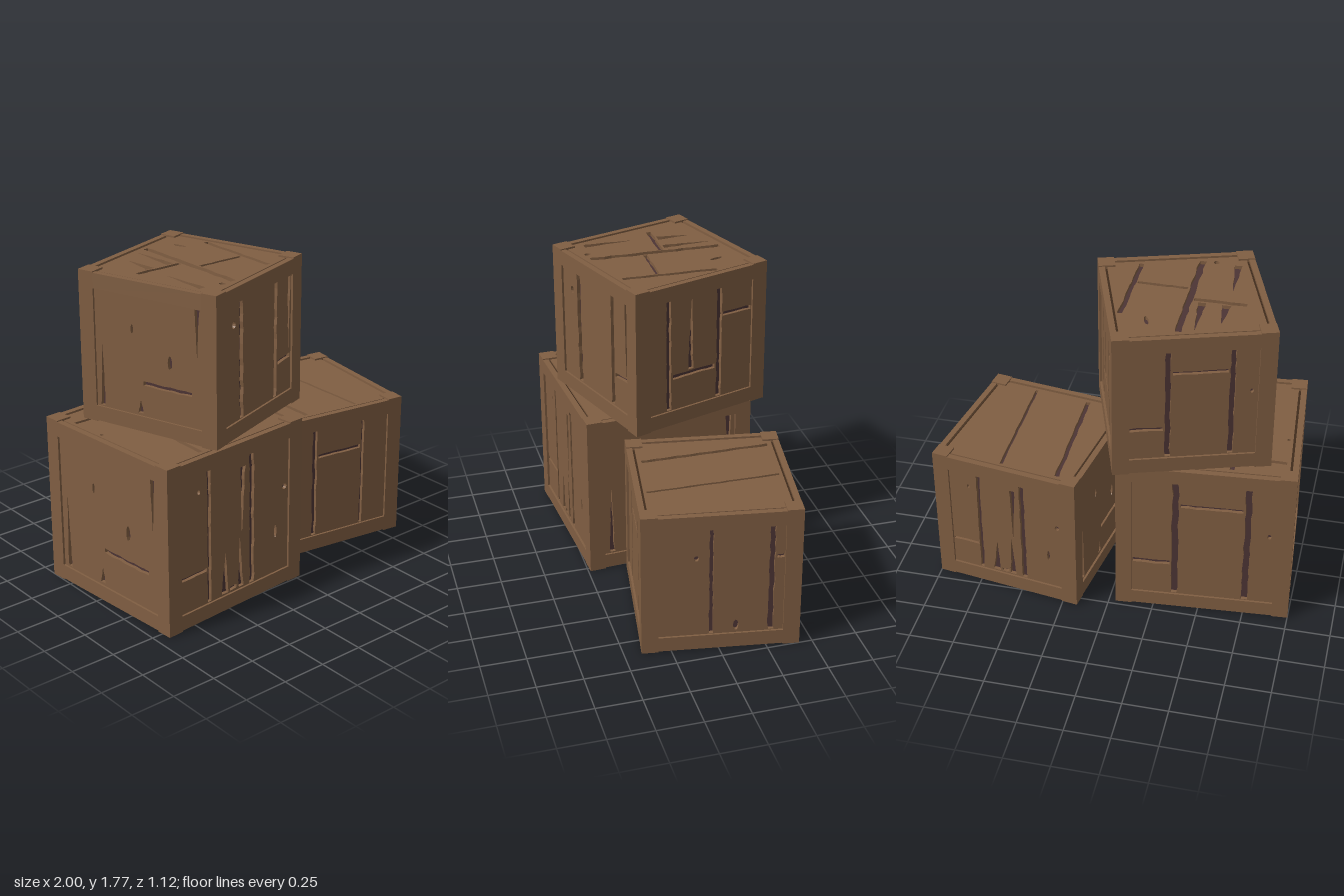
import * as THREE from 'three';

const wood = new THREE.MeshStandardMaterial({ color: 0x805e42 });
wood.name = 'wood';
const crackMat = new THREE.MeshStandardMaterial({ color: 0x4c3434 });
crackMat.name = 'dark crack';
const grooveMat = new THREE.MeshStandardMaterial({ color: 0x402c1c });
grooveMat.name = 'groove';

let seed = 7;
const rand = () => (seed = (seed * 16807) % 2147483647) / 2147483647;

const FRAME = 0.09, RECESS = 0.012, RAIL = 0.033, LIFT = 0.006, DEPTH = 0.02, GROOVE = 0.013;

function box(parent, name, w, h, d, x, y, z, mat = wood) {
  const m = new THREE.Mesh(new THREE.BoxGeometry(w, h, d), mat);
  m.name = name;
  m.position.set(x, y, z);
  parent.add(m);
}

// Wobbly strip from (x0,y0) to (x1,y1); a tapered one narrows to a point at its end
function crackShape([x0, y0, x1, y1, w, taper]) {
  const len = Math.hypot(x1 - x0, y1 - y0), n = Math.max(4, Math.round(len / 0.04));
  const nx = -(y1 - y0) / len, ny = (x1 - x0) / len;
  const a = [], b = [];
  for (let i = 0; i <= n; i++) {
    const t = i / n, x = x0 + (x1 - x0) * t, y = y0 + (y1 - y0) * t;
    const base = w * (taper ? 1.05 - t : 1) / 2, off = (rand() - 0.5) * base * 0.4;
    const l = off + base * (0.85 + rand() * 0.25), r = off - base * (0.85 + rand() * 0.25);
    a.push(new THREE.Vector2(x + nx * l, y + ny * l));
    b.unshift(new THREE.Vector2(x + nx * r, y + ny * r));
  }
  return new THREE.Shape([...a, ...b]);
}

// Oval knot: centre and radii
function knotShape([x, y, rx, ry]) {
  return new THREE.Shape().absellipse(x, y, rx, ry, 0, Math.PI * 2, false, 0);
}

// Thin board, centred on x, with cracks and knots cut through to the dark core
function board(name, w, y0, y1, cracks, knots) {
  const s = new THREE.Shape();
  s.moveTo(-w / 2, y0).lineTo(w / 2, y0).lineTo(w / 2, y1).lineTo(-w / 2, y1).closePath();
  s.holes.push(...cracks.map(crackShape), ...knots.map(knotShape));
  const m = new THREE.Mesh(new THREE.ExtrudeGeometry(s, { depth: DEPTH, bevelEnabled: false, curveSegments: 6 }), wood);
  m.name = name;
  return m;
}

// Side patterns in panel units (0..1): cracks [u0,v0,u1,v1,width,taper], knots [u,v,ru,rv]
const patterns = {
  spikes: {
    cracks: [[0.26, 0.006, 0.26, 0.994, 0.032], [0.655, 0.006, 0.65, 0.994, 0.042], [0.57, 0.92, 0.56, 0.42, 0.045, 1],
      [0.55, 0.012, 0.54, 0.39, 0.05, 1], [0.4, 0.012, 0.41, 0.32, 0.06, 1], [0.005, 0.26, 0.236, 0.26, 0.024],
      [0.445, 0.03, 0.508, 0.03, 0.03]],
    knots: [[0.965, 0.64, 0.02, 0.022], [0.88, 0.32, 0.012, 0.05], [0.17, 0.86, 0.012, 0.018]],
  },
  ladder: {
    cracks: [[0.262, 0.006, 0.262, 0.994, 0.045], [0.75, 0.006, 0.75, 0.994, 0.03], [0.298, 0.75, 0.725, 0.75, 0.035]],
    knots: [],
  },
  stepped: {
    cracks: [[0.3, 0.006, 0.3, 0.994, 0.045], [0.8, 0.006, 0.8, 0.994, 0.045], [0.335, 0.8, 0.765, 0.8, 0.03],
      [0.005, 0.28, 0.265, 0.28, 0.035]],
    knots: [[0.95, 0.6, 0.015, 0.02]],
  },
  corner: {
    cracks: [[0.25, 0.006, 0.24, 0.994, 0.055], [0.76, 0.006, 0.76, 0.994, 0.045], [0.795, 0.29, 0.99, 0.3, 0.035],
      [0.965, 0.99, 0.965, 0.34, 0.045, 1]],
    knots: [[0.14, 0.82, 0.025, 0.03]],
  },
  joined: {
    cracks: [[0.19, 0.006, 0.19, 0.994, 0.045], [0.4, 0.335, 0.41, 0.994, 0.05, 1], [0.68, 0.006, 0.68, 0.994, 0.05],
      [0.226, 0.3, 0.64, 0.3, 0.04], [0.718, 0.75, 0.994, 0.75, 0.035]],
    knots: [],
  },
  pair: {
    cracks: [[0.42, 0.006, 0.42, 0.994, 0.032], [0.9, 0.006, 0.9, 0.994, 0.045], [0.936, 0.71, 0.994, 0.71, 0.03]],
    knots: [[0.3, 0.73, 0.02, 0.025], [0.62, 0.07, 0.022, 0.05]],
  },
  sparse: {
    cracks: [[0.06, 0.01, 0.06, 0.55, 0.04, 1], [0.42, 0.02, 0.42, 0.13, 0.05, 1], [0.45, 0.28, 0.9, 0.28, 0.035],
      [0.95, 0.99, 0.95, 0.6, 0.04, 1]],
    knots: [[0.7, 0.5, 0.02, 0.06], [0.35, 0.72, 0.012, 0.04]],
  },
};

// Trims a crack to a square of the given half width
function trim([x0, y0, x1, y1, w, taper], half) {
  const lim = half - w * 0.65;
  let a = 0, b = 1;
  for (const [p, d] of [[x0, x1 - x0], [y0, y1 - y0]]) {
    if (Math.abs(d) < 1e-6) continue;
    const t = [(-lim - p) / d, (lim - p) / d].sort((m, n) => m - n);
    a = Math.max(a, t[0]);
    b = Math.min(b, t[1]);
  }
  const at = t => [x0 + (x1 - x0) * t, y0 + (y1 - y0) * t];
  return [...at(a), ...at(b), w, taper];
}

// One crate; sides are listed front, left, back, right; lid marks are given in the stack's plan as x, z
function crate(name, size, height, x, y, z, angle, sides, lidCracks, lidKnots) {
  const g = new THREE.Group();
  g.name = name;
  g.position.set(x, y, z);
  g.rotation.y = angle;
  const half = size / 2, panel = size - 2 * FRAME;

  // Dark core behind the boards, with a recessed wooden underside
  const floor = 0.05, top = height - LIFT - 0.004, core = size - 2 * (RECESS + DEPTH);
  box(g, 'core', core, top - DEPTH - floor, core, 0, (top - DEPTH + floor) / 2, 0,
    [crackMat, crackMat, crackMat, wood, crackMat, crackMat]);

  // Lid board inside a narrow joint, its cracks turned into the crate's own frame
  const c = Math.cos(angle), s = Math.sin(angle), lidHalf = half - RAIL - GROOVE;
  const toLid = (px, pz) => [(px - x) * c - (pz - z) * s, -(px - x) * s - (pz - z) * c];
  const lid = board('lid', 2 * lidHalf, -lidHalf, lidHalf,
    lidCracks.map(k => trim([...toLid(k[0], k[1]), ...toLid(k[2], k[3]), k[4], k[5]], lidHalf - 0.006)),
    lidKnots.map(k => [...toLid(k[0], k[1]), k[2], k[3]]));
  lid.rotation.x = -Math.PI / 2;
  lid.position.y = top - DEPTH;
  g.add(lid);

  // Corner posts stand slightly proud above and below
  for (const sx of [-1, 1]) for (const sz of [-1, 1])
    box(g, 'cornerPost', FRAME, height, FRAME, sx * (half - FRAME / 2), height / 2, sz * (half - FRAME / 2));

  sides.forEach((key, k) => {
    const side = new THREE.Group();
    side.name = 'side';
    side.rotation.y = k * Math.PI / 2;
    const railH = FRAME - LIFT;
    box(side, 'topRail', panel, railH, RAIL, 0, height - FRAME + railH / 2, half - RAIL / 2);
    box(side, 'bottomRail', panel, railH, RAIL, 0, LIFT + railH / 2, half - RAIL / 2);
    // Dark joints around the lid and under the bottom rail
    box(side, 'topGroove', panel, 0.004, GROOVE, 0, top - 0.012, half - RAIL - GROOVE / 2, grooveMat);
    box(side, 'bottomGroove', panel, LIFT, 0.006, 0, LIFT / 2 + 0.001, half - RAIL + 0.004, grooveMat);
    // Cracked board between the rails
    const p = patterns[key], panelH = height - 2 * FRAME;
    const toX = u => (u - 0.5) * panel, toY = v => FRAME + v * panelH;
    const m = board('sideBoard', panel, FRAME, height - FRAME,
      p.cracks.map(q => [toX(q[0]), toY(q[1]), toX(q[2]), toY(q[3]), q[4] * panel, q[5]]),
      p.knots.map(q => [toX(q[0]), toY(q[1]), q[2] * panel, q[3] * panelH]));
    m.position.z = half - RECESS - DEPTH;
    side.add(m);
    g.add(side);
  });
  return g;
}

export function createModel() {
  const model = new THREE.Group();
  model.name = 'crateStack';
  model.add(
    crate('largeCrate', 0.965, 0.95, -0.485, 0, 0.041, 0.073, ['spikes', 'sparse', 'stepped', 'sparse'],
      [[-0.645, -0.5, -0.645, 0.55, 0.025], [-0.95, -0.245, -0.666, -0.245, 0.022]],
      [[-0.905, -0.03, 0.01, 0.01]]),
    crate('lowCrate', 0.845, 0.83, 0.518, 0, -0.075, -0.155, ['ladder', 'pair', 'spikes', 'sparse'],
      [[0.285, -0.55, 0.285, 0.4, 0.025], [0.61, -0.55, 0.605, 0.4, 0.016]], []),
    crate('upperCrate', 0.845, 0.83, -0.31, 0.94, -0.015, 0.318, ['corner', 'joined', 'stepped', 'sparse'],
      [[-0.34, -0.5, -0.335, 0.5, 0.035], [-0.02, -0.5, -0.02, 0.4, 0.028], [-0.64, -0.045, -0.364, -0.045, 0.028],
        [-0.31, 0.06, -0.042, 0.065, 0.022], [-0.54, -0.07, -0.54, -0.25, 0.05, 1], [-0.41, -0.07, -0.42, -0.35, 0.045, 1],
        [-0.53, 0.35, -0.545, 0.08, 0.04, 1]],
      [[-0.165, -0.3, 0.012, 0.04], [-0.41, 0.36, 0.015, 0.018]]),
  );
  return model;
}
